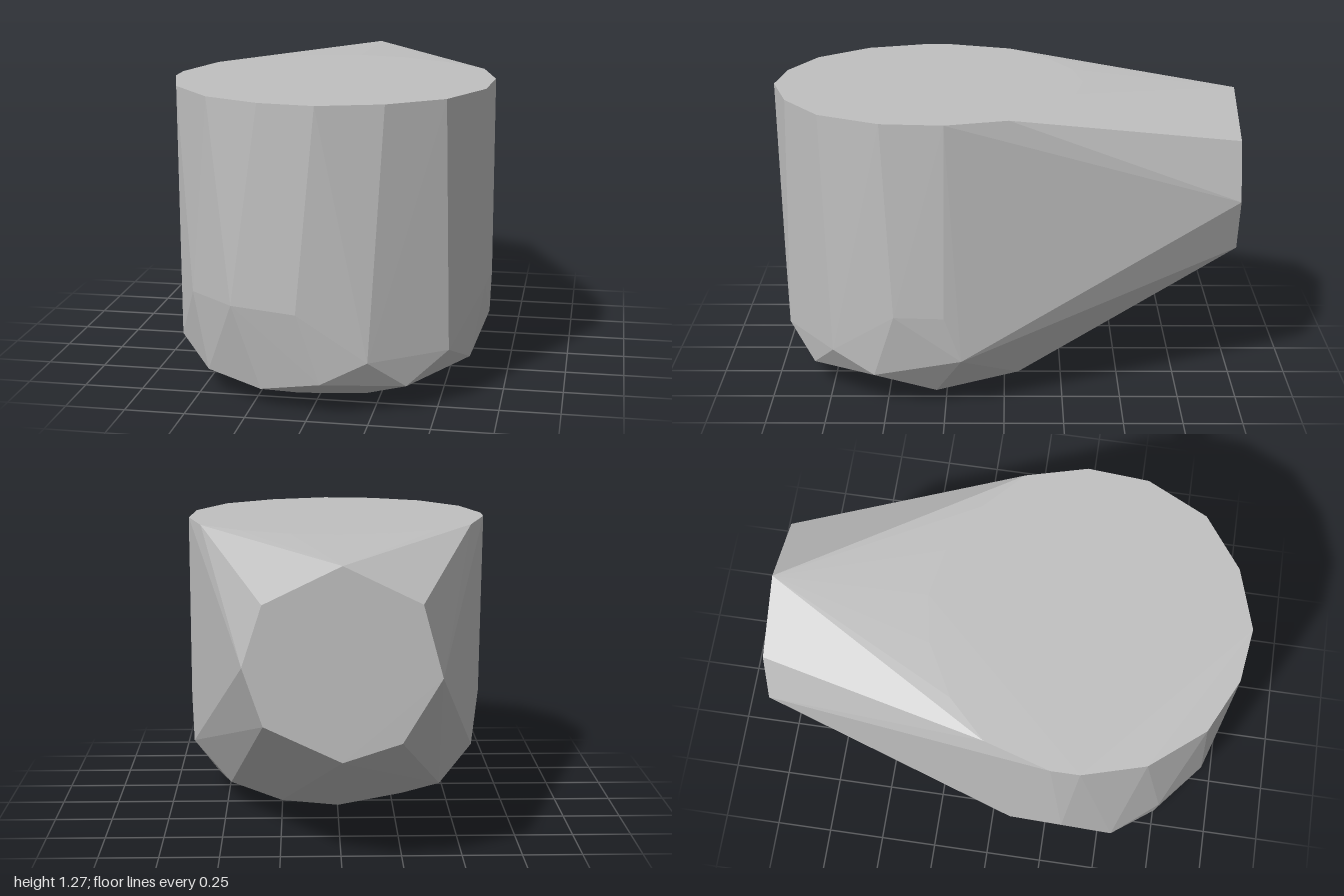
import * as THREE from 'three';
import { ConvexGeometry } from 'three/addons/geometries/ConvexGeometry.js';

export function createModel() {
  const grey = new THREE.MeshStandardMaterial({ color: 0xc0c0c0 });
  grey.name = 'plain grey';
  const points = [];
  const add = (x, y, z) => points.push(new THREE.Vector3(x, y, z));

  // Flat round rim
  [[0.67, 0.24], [0.65, 0.5], [0.52, 0.76], [0.3, 0.92], [0.04, 1], [-0.19, 0.97], [-0.42, 0.86],
    [-0.6, 0.64], [-0.675, 0.38], [-0.675, 0.26], [-0.59, -0.02], [0.6, -0.02],
    [-0.43, -0.18], [0.43, -0.18], [-0.21, -0.3], [0.21, -0.3], [0, -0.34]]
    .forEach(([x, z]) => add(x, 1.275, z));

  // Lower wall
  [[-0.52, 0.44, 0.75], [-0.32, 0.44, 0.92], [-0.04, 0.44, 1], [-0.675, 0.44, 0.33],
    [0.66, 0.44, 0.46], [0.672, 0.44, 0.25],
    [0.24, 0.24, 0.95], [0.54, 0.24, 0.73], [0.66, 0.24, 0.18], [-0.62, 0.24, 0.09]]
    .forEach((p) => add(...p));

  // Rounded lower edge
  [[0.05, 0.145, 0.97], [0.38, 0.11, 0.83], [0.61, 0.155, 0.55], [0.55, 0.055, 0.29],
    [0.48, 0.11, -0.06], [0, 0.04, -0.19], [-0.21, 0.08, 0.88], [-0.46, 0.105, 0.75],
    [-0.62, 0.19, 0.56], [-0.55, 0.055, 0.32], [-0.46, 0.105, -0.08], [0.25, 0.045, -0.13]]
    .forEach((p) => add(...p));

  // Shallow underside
  for (const [r, y, n] of [[0.4, 0.013, 9], [0.25, 0, 7]]) {
    for (let i = 0; i < n; i++) {
      const a = (i / n) * Math.PI * 2 + 0.5;
      add(r * Math.sin(a), y, 0.33 + r * Math.cos(a));
    }
  }

  // Flat eight-sided back end
  [[0, 1.25], [0.31, 1.1], [0.39, 0.855], [0.31, 0.62], [0, 0.473],
    [-0.235, 0.55], [-0.39, 0.81], [-0.31, 1.1]]
    .forEach(([x, y]) => add(x, y, -1));

  const body = new THREE.Mesh(new ConvexGeometry(points), grey);
  body.name = 'facetedBody';
  const model = new THREE.Group();
  model.name = 'convexShell';
  model.add(body);
  return model;
}
